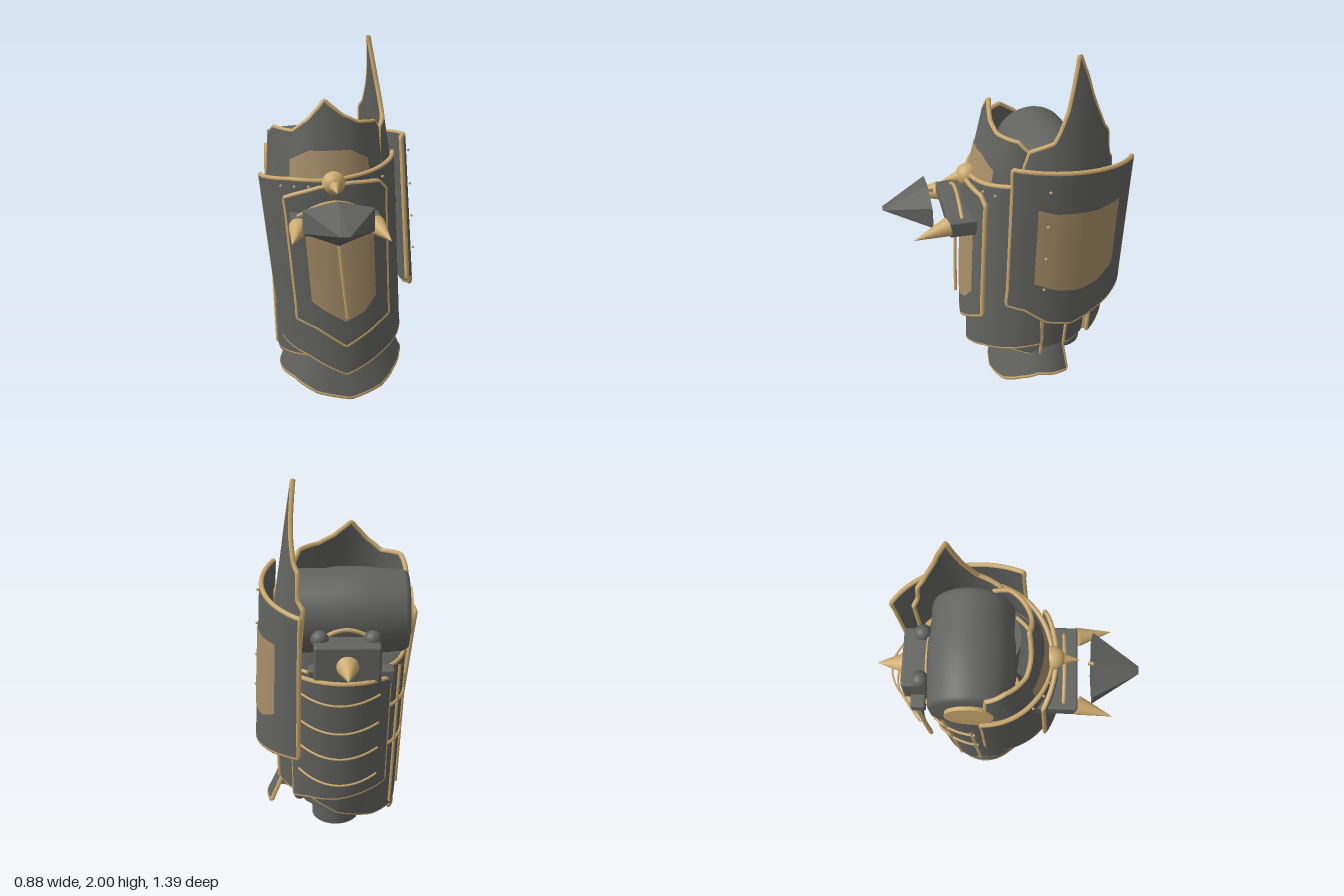
import * as THREE from 'three';
import { ConvexGeometry } from 'three/addons/geometries/ConvexGeometry.js';
import { RoundedBoxGeometry } from 'three/addons/geometries/RoundedBoxGeometry.js';

const material = (name, color) => Object.assign(new THREE.MeshStandardMaterial({ color }), { name });
const STEEL = material('dark steel', 0x62635f);
const GOLD = material('gold trim', 0xcdab70);
const TAN = material('tan inlay', 0xa78d68);
const rad = THREE.MathUtils.degToRad;

// Piecewise linear value of [[u, value], ...]
function piecewise(pts, u) {
  if (typeof pts === 'number') return pts;
  for (let i = 1; i < pts.length; i++) {
    const [u0, v0] = pts[i - 1], [u1, v1] = pts[i];
    if (u <= u1) return v0 + (v1 - v0) * (u - u0) / (u1 - u0);
  }
  return pts[pts.length - 1][1];
}

// Tapered elliptical surface; lo and hi are [y, centreX, centreZ, radiusX, radiusZ]
// Angle 0 faces the front, 90 degrees faces +x
function surface(lo, hi) {
  return (angle, y, out = 0) => {
    const t = (y - lo[0]) / (hi[0] - lo[0]);
    const [, cx, cz, rx, rz] = lo.map((v, i) => v + (hi[i] - v) * t);
    const a = rad(angle);
    return new THREE.Vector3(cx + (rx + out) * Math.sin(a), y, cz + (rz + out) * Math.cos(a));
  };
}

// Smooth grid sheet from a function of u in -1..1 and v in 0..1
function sheet(point, flip, nu = 56, nv = 10) {
  const pos = [], idx = [];
  for (let j = 0; j <= nv; j++)
    for (let i = 0; i <= nu; i++) pos.push(...point(-1 + 2 * i / nu, j / nv).toArray());
  for (let j = 0; j < nv; j++)
    for (let i = 0; i < nu; i++) {
      const a = j * (nu + 1) + i, b = a + 1, c = b + nu + 1, d = a + nu + 1;
      idx.push(...(flip ? [a, c, b, a, d, c] : [a, b, c, a, c, d]));
    }
  const g = new THREE.BufferGeometry();
  g.setAttribute('position', new THREE.Float32BufferAttribute(pos, 3));
  g.setIndex(idx);
  g.computeVertexNormals();
  return g;
}

function add(parent, name, geometry, mat, x = 0, y = 0, z = 0) {
  const m = new THREE.Mesh(geometry, mat);
  m.name = name;
  m.position.set(x, y, z);
  parent.add(m);
  return m;
}

function tube(parent, name, pts, r = 0.012, closed = false) {
  const curve = new THREE.CatmullRomCurve3(pts, closed, 'centripetal');
  return add(parent, name, new THREE.TubeGeometry(curve, pts.length * 2, r, 6, closed), GOLD);
}

const steps = (n, f) => Array.from({ length: n + 1 }, (_, i) => f(i / n));

// Curved armour plate with thickness and a gold rim
function plate(parent, name, surf, a0, a1, bottom, top, ring = false) {
  const g = new THREE.Group();
  g.name = name;
  parent.add(g);
  const TH = 0.022;
  const at = (u, v, out) => {
    const b = piecewise(bottom, u), t = piecewise(top, u);
    return surf(a0 + (a1 - a0) * (u + 1) / 2, b + (t - b) * v, out);
  };
  add(g, name + 'Outside', sheet((u, v) => at(u, v, 0)), STEEL);
  add(g, name + 'Inside', sheet((u, v) => at(u, v, -TH), true), STEEL);
  const low = steps(56, s => at(-1 + 2 * s, 0, -TH / 2));
  const high = steps(56, s => at(1 - 2 * s, 1, -TH / 2));
  if (ring) {
    tube(g, name + 'BottomRim', low.slice(1), 0.012, true);
    tube(g, name + 'TopRim', high.slice(1), 0.012, true);
  } else {
    const right = steps(8, s => at(1, s, -TH / 2)).slice(1, -1);
    const left = steps(8, s => at(-1, 1 - s, -TH / 2)).slice(1, -1);
    tube(g, name + 'Rim', [...low, ...right, ...high, ...left], 0.013, true);
  }
}

// Thin coloured inlay lying on a plate
function inlay(parent, name, surf, a0, a1, bottom, top) {
  add(parent, name, sheet((u, v) => {
    const b = piecewise(bottom, u), t = piecewise(top, u);
    return surf(a0 + (a1 - a0) * (u + 1) / 2, b + (t - b) * v, 0.005);
  }, false, 24, 6), TAN);
}

// Cone from a base point to a tip
function spike(parent, name, base, tip, r) {
  const a = new THREE.Vector3(...base), d = new THREE.Vector3(...tip).sub(a);
  const m = add(parent, name, new THREE.ConeGeometry(r, d.length(), 20), GOLD);
  m.position.copy(a).addScaledVector(d, 0.5);
  m.quaternion.setFromUnitVectors(new THREE.Vector3(0, 1, 0), d.normalize());
}

export function createModel() {
  const model = new THREE.Group();
  model.name = 'armourAssembly';

  // Trunk: ring of plates around a core
  const trunk = surface([0.2, -0.01, -0.13, 0.33, 0.3], [1.1, -0.02, -0.17, 0.35, 0.36]);
  plate(model, 'trunk', trunk, -180, 180,
    [[-1, 0.23], [-0.8, 0.18], [-0.6, 0.17], [-0.52, 0.25], [0, 0.3], [0.45, 0.28], [0.58, 0.33], [0.83, 0.33], [1, 0.23]], 1.09, true);
  for (const [a, y0, y1] of [[82, 0.28, 0.75], [107, 0.34, 0.75], [-95, 0.25, 0.95], [-120, 0.2, 1.08], [140, 0.33, 0.9]])
    tube(model, 'verticalSeam', steps(6, s => trunk(a, y0 + (y1 - y0) * s, 0.004)), 0.009);
  for (const [y, a0, a1] of [[0.62, -138, -92], [0.86, -138, -92]])
    tube(model, 'crossSeam', steps(10, s => trunk(a0 + (a1 - a0) * s, y, 0.004)), 0.009);
  add(model, 'core', new THREE.CylinderGeometry(0.2, 0.16, 1.15, 32), STEEL, 0.04, 0.74, -0.13);
  add(model, 'rearLeg', new THREE.CylinderGeometry(0.14, 0.13, 0.9, 32), STEEL, 0, 0.59, -0.285);

  // Main front plate
  const front = surface([0.35, 0.02, -0.12, 0.35, 0.4], [1.3, -0.055, -0.12, 0.38, 0.36]);
  plate(model, 'frontPlate', front, -90, 84,
    [[-1, 0.36], [-0.4, 0.32], [0, 0.23], [0.4, 0.32], [1, 0.4]],
    [[-1, 1.27], [-0.4, 1.3], [0, 1.3], [0.4, 1.33], [1, 1.39]]);
  for (const a of [-45, -32, -20, 20, 32, 45])
    add(model, 'frontRivet', new THREE.SphereGeometry(0.008, 8, 6), GOLD).position.copy(front(a, 1.26 + (a + 45) * 0.0004, 0.004));

  // Raised, flatter chest panel with inlay, bar and hanging rod
  const chest = surface([0.4, 0.005, -0.55, 0.62, 0.865], [1.25, -0.045, -0.55, 0.69, 0.815]);
  plate(model, 'chestPanel', chest, -23, 23,
    [[-1, 0.55], [-0.6, 0.51], [0, 0.41], [0.5, 0.48], [1, 0.56]],
    [[-1, 1.21], [-0.8, 1.23], [-0.3, 1.27], [0.3, 1.29], [0.85, 1.29], [1, 1.25]]);
  inlay(model, 'chestInlay', chest, -15, 16, [[-1, 0.66], [-0.6, 0.61], [0, 0.55], [0.6, 0.6], [1, 0.68]], 1.06);
  tube(model, 'chestBar', steps(8, s => chest(-14 + 29 * s, 1.03, 0.02)), 0.01);
  tube(model, 'hangingRod', [[-0.045, 1.05, 0.31], [-0.02, 0.8, 0.325], [0.005, 0.58, 0.335]].map(p => new THREE.Vector3(...p)), 0.009);

  // Weapon mount with arched bar, side spikes and spear head
  add(model, 'mountBox', new RoundedBoxGeometry(0.465, 0.09, 0.27, 2, 0.012), STEEL, -0.053, 1.095, 0.24);
  tube(model, 'mountArch', steps(10, s => new THREE.Vector3(-0.25 + 0.39 * s, 1.135 + 0.07 * Math.sin(Math.PI * s), 0.3)), 0.01);
  for (const s of [-1, 1])
    spike(model, 'sideSpike', [-0.053 + s * 0.195, 1.1, 0.375], [-0.053 + s * 0.243, 1.07, 0.565], 0.052);
  const head = [];
  for (const s of [-1, 1])
    for (const [x, y, z] of [[0.18, 1.21, 0.45], [0.18, 1.09, 0.45], [0, s > 0 ? 1.25 : 1.02, 0.45], [0.022, 1.14, 0.698]])
      head.push(new THREE.Vector3(-0.055 + s * x, y, z));
  add(model, 'spearHead', new ConvexGeometry(head), STEEL);
  add(model, 'spearPeg', new THREE.BoxGeometry(0.014, 0.02, 0.03), GOLD, -0.055, 1.22, 0.438);
  add(model, 'frontBoss', new THREE.SphereGeometry(0.062, 24, 16), GOLD, -0.055, 1.29, 0.235);
  spike(model, 'frontBossSpike', [-0.055, 1.285, 0.27], [-0.055, 1.27, 0.375], 0.035);

  // Crown-shaped collar leaning back, with inlay
  const collar = surface([1.2, -0.06, -0.1, 0.335, 0.345], [1.6, -0.075, -0.08, 0.295, 0.22]);
  plate(model, 'collar', collar, -92, 88, 1.24,
    [[-1, 1.49], [-0.75, 1.55], [-0.4, 1.54], [-0.2, 1.6], [0, 1.695], [0.2, 1.62], [0.4, 1.58], [0.75, 1.57], [1, 1.48]]);
  inlay(model, 'collarInlay', collar, -40, 40, 1.25, [[-1, 1.4], [-0.5, 1.45], [0.5, 1.45], [1, 1.4]]);

  // Inner side plate with the tall blade
  const blade = surface([1, -0.01, -0.2, 0.38, 0.36], [2, -0.015, -0.24, 0.23, 0.3]);
  plate(model, 'bladePlate', blade, 48, 146, 1.08,
    [[-1, 1.4], [-0.85, 1.53], [-0.4, 1.58], [-0.3, 1.63], [-0.15, 1.74], [-0.08, 1.83], [0.0357, 2], [0.2, 1.9],
      [0.33, 1.8], [0.45, 1.73], [0.65, 1.63], [0.8, 1.59], [0.86, 1.46], [1, 1.42]]);

  // Large side shield
  const shield = surface([0.6, 0, -0.12, 0.44, 0.5], [1.5, 0, -0.17, 0.385, 0.5]);
  plate(model, 'sideShield', shield, 61, 153,
    [[-1, 0.71], [-0.75, 0.69], [-0.45, 0.61], [-0.1, 0.575], [0.3, 0.61], [0.7, 0.635], [1, 0.65]],
    [[-1, 1.495], [1, 1.42]]);
  inlay(model, 'shieldInlay', shield, 77, 133,
    [[-1, 0.86], [-0.5, 0.81], [0, 0.785], [0.5, 0.8], [1, 0.86]], [[-1, 1.29], [-0.6, 1.26], [0.3, 1.24], [1, 1.25]]);
  for (const y of [1.39, 1.2, 1.015, 0.83])
    add(model, 'shieldRivet', new THREE.SphereGeometry(0.008, 8, 6), GOLD).position.copy(shield(83, y, 0.015));

  // Flared bottom guard
  const guard = surface([0, 0.05, -0.15, 0.42, 0.31], [0.35, 0.025, -0.15, 0.29, 0.21]);
  plate(model, 'bottomGuard', guard, -108, 110,
    [[-1, 0.13], [-0.5, 0.1], [-0.25, 0.04], [0, 0.013], [0.25, 0.06], [0.45, 0.13], [0.65, 0.18], [1, 0.18]],
    [[-1, 0.28], [-0.4, 0.28], [-0.2, 0.24], [0, 0.19], [0.2, 0.25], [0.5, 0.36], [1, 0.35]]);

  // Horizontal barrel joint with gold end caps
  const profile = [[0, -0.305], [0.19, -0.305], [0.21, -0.29], [0.218, -0.26], [0.218, -0.12], [0.228, -0.06],
    [0.228, 0.06], [0.222, 0.12], [0.21, 0.28], [0.195, 0.305], [0, 0.305]].map(p => new THREE.Vector2(...p));
  const barrel = add(model, 'barrelJoint', new THREE.LatheGeometry(profile, 48), STEEL, -0.067, 1.305, -0.185);
  barrel.rotation.z = Math.PI / 2;
  for (const x of [-0.375, 0.245]) {
    const cap = add(model, 'barrelCap', new THREE.CylinderGeometry(0.125, 0.125, 0.035, 32), GOLD, x, 1.305, -0.185);
    cap.rotation.z = Math.PI / 2;
  }

  // Back plate with raised gold ribs
  const back = surface([0.4, -0.04, -0.18, 0.34, 0.365], [1.1, -0.045, -0.19, 0.36, 0.4]);
  plate(model, 'backPlate', back, 128, 219, [[-1, 0.33], [-0.6, 0.37], [0, 0.39], [1, 0.46]], 1.07);
  for (const y of [1.0, 0.84, 0.69, 0.53])
    tube(model, 'backRib', steps(20, s => {
      const p = back(138 + 70 * s, y, 0.008);
      p.z -= 0.05 * Math.sin(Math.PI * s);
      p.y -= 0.015 * Math.sin(Math.PI * s);
      return p;
    }), 0.006);

  // Back box, bracket, knobs and spike
  add(model, 'backBox', new RoundedBoxGeometry(0.33, 0.2, 0.14, 2, 0.015), STEEL, -0.055, 1.155, -0.48);
  add(model, 'backBracket', new RoundedBoxGeometry(0.43, 0.07, 0.08, 2, 0.012), STEEL, -0.075, 1.08, -0.47);
  for (const x of [-0.18, 0.08])
    add(model, 'backKnob', new THREE.SphereGeometry(0.045, 20, 14), STEEL, x, 1.255, -0.45);
  spike(model, 'backSpike', [-0.055, 1.15, -0.545], [-0.055, 1.14, -0.697], 0.058);
  tube(model, 'barrelStrap', steps(10, s => new THREE.Vector3(-0.17 + 0.23 * s, 1.25 + 0.04 * Math.sin(Math.PI * s), -0.415)), 0.011);

  // Rear rod with ball end, tucked under the trunk edge
  add(model, 'rearRod', new THREE.CylinderGeometry(0.018, 0.018, 0.5, 14), STEEL, 0.2, 0.49, -0.28);
  add(model, 'rearBall', new THREE.SphereGeometry(0.032, 16, 12), STEEL, 0.2, 0.25, -0.28);
  return model;
}
